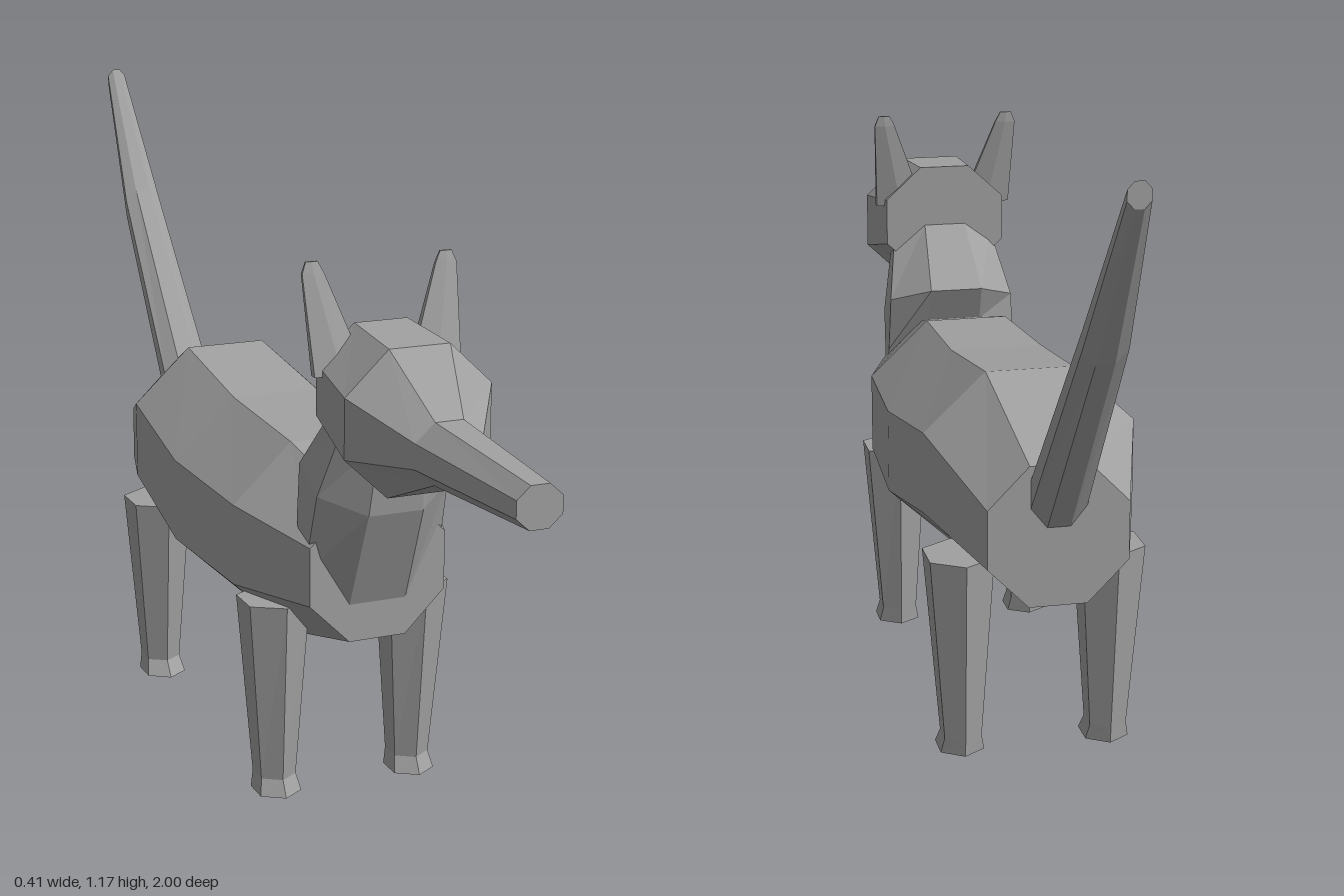
import * as THREE from 'three';

const grey = new THREE.MeshStandardMaterial({ color: 0xa0a0a0, flatShading: true });
grey.name = 'grey';

// Cross-section with n sides, spanning from point a to point b (each [y, z]) and cx - hw to cx + hw.
function ring(n, a, b, hw, cx = 0) {
  const points = [];
  const maxCos = Math.cos(Math.PI / n);
  const maxSin = n === 6 ? 1 : maxCos;
  for (let i = 0; i < n; i++) {
    const angle = Math.PI / n + (i * 2 * Math.PI) / n;
    const t = 0.5 + (0.5 * Math.sin(angle)) / maxSin;
    points.push([
      cx + (hw * Math.cos(angle)) / maxCos,
      a[0] + (b[0] - a[0]) * t,
      a[1] + (b[1] - a[1]) * t,
    ]);
  }
  return points;
}

// Skin a list of rings and close both ends.
function loft(name, rings) {
  const n = rings[0].length;
  const index = [];
  for (let r = 0; r < rings.length - 1; r++) {
    for (let i = 0; i < n; i++) {
      const j = (i + 1) % n;
      const a = r * n + i, b = r * n + j, c = a + n, d = b + n;
      index.push(a, b, d, a, d, c);
    }
  }
  const last = (rings.length - 1) * n;
  for (let i = 1; i < n - 1; i++) {
    index.push(0, i + 1, i);
    index.push(last, last + i, last + i + 1);
  }
  const geometry = new THREE.BufferGeometry();
  geometry.setAttribute('position', new THREE.Float32BufferAttribute(rings.flat(2), 3));
  geometry.setIndex(index);
  const flat = geometry.toNonIndexed();
  flat.computeVertexNormals();
  const mesh = new THREE.Mesh(flat, grey);
  mesh.name = name;
  return mesh;
}

// Upright octagon at depth z.
const upright = (z, bottom, top, hw) => ring(8, [bottom, z], [top, z], hw);
// Level hexagon at height y.
const level = (y, front, back, hw, cx) => ring(6, [y, front], [y, back], hw, cx);

export function createModel() {
  const model = new THREE.Group();
  model.name = 'animal';

  // Trunk
  model.add(loft('body', [
    upright(-0.55, 0.335, 0.59, 0.125),
    upright(-0.33, 0.335, 0.695, 0.192),
    upright(-0.06, 0.28, 0.66, 0.207),
    upright(0.21, 0.28, 0.645, 0.192),
    upright(0.42, 0.33, 0.59, 0.13),
  ]));

  // Neck rising forwards
  model.add(loft('neck', [
    ring(8, [0.4, 0.42], [0.61, 0.335], 0.13),
    ring(8, [0.585, 0.493], [0.68, 0.303], 0.125),
    ring(8, [0.72, 0.51], [0.79, 0.42], 0.1),
  ]));

  // Head with long snout
  model.add(loft('head', [
    upright(0.42, 0.69, 0.91, 0.12),
    upright(0.575, 0.643, 0.9, 0.135),
    upright(0.69, 0.695, 0.802, 0.062),
    upright(1, 0.713, 0.785, 0.04),
  ]));

  // Raised tail
  model.add(loft('tail', [
    upright(-1, 1.125, 1.167, 0.019),
    upright(-0.83, 0.845, 0.925, 0.038),
    upright(-0.54, 0.465, 0.59, 0.05),
  ]));

  for (const [side, s] of [['left', 1], ['right', -1]]) {
    // Ears
    model.add(loft(side + 'Ear', [
      level(0.83, 0.463, 0.432, 0.048, s * 0.089),
      level(1.0, 0.419, 0.407, 0.02, s * 0.124),
      level(1.02, 0.413, 0.407, 0.011, s * 0.125),
    ]));

    // Legs with slightly flared feet
    for (const [end, z, tilt] of [['Front', 0.268, 0], ['Rear', -0.368, 0.006]]) {
      model.add(loft(side + end + 'Leg', [
        level(0, z + 0.056 + tilt, z - 0.046, 0.04, s * 0.135),
        level(0.03, z + 0.04, z - 0.048, 0.034, s * 0.135),
        level(0.375, z + 0.068 + tilt, z - 0.07 - tilt, 0.058, s * 0.138),
      ]));
    }
  }
  return model;
}
